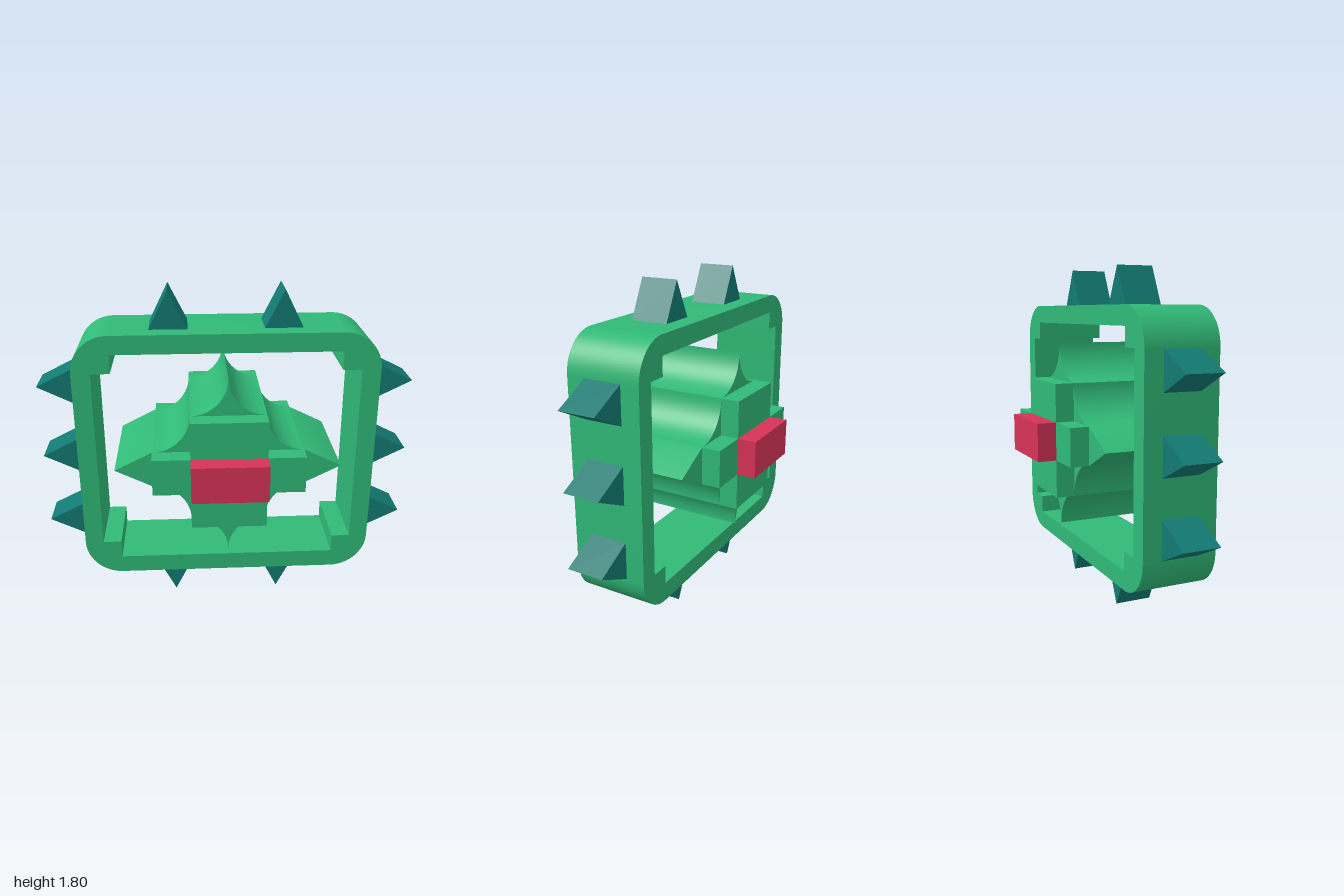
import * as THREE from 'three';
import { toCreasedNormals } from 'three/addons/utils/BufferGeometryUtils.js';

const CENTRE_Y = 0.9;
const green = new THREE.MeshStandardMaterial({ color: 0x30b977 });
const teal = new THREE.MeshStandardMaterial({ color: 0x127a72 });
const red = new THREE.MeshStandardMaterial({ color: 0xd63356 });

// Extrudes a shape evenly about z = 0, smooth on curves and sharp at corners
function slab(name, shape, depth, material) {
  const geometry = new THREE.ExtrudeGeometry(shape, { depth, bevelEnabled: false, curveSegments: 12 });
  geometry.translate(0, 0, -depth / 2);
  const mesh = new THREE.Mesh(toCreasedNormals(geometry, 0.5), material);
  mesh.name = name;
  return mesh;
}

const polygon = (points) => new THREE.Shape(points.map(([x, y]) => new THREE.Vector2(x, y)));

// Rounded frame whose opening has a square step in each corner
function frameShape() {
  const w = 0.8, h = 0.7, r = 0.2;
  const s = new THREE.Shape();
  s.moveTo(-w + r, -h);
  s.lineTo(w - r, -h);
  s.absarc(w - r, -h + r, r, -Math.PI / 2, 0);
  s.lineTo(w, h - r);
  s.absarc(w - r, h - r, r, 0, Math.PI / 2);
  s.lineTo(-w + r, h);
  s.absarc(-w + r, h - r, r, Math.PI / 2, Math.PI);
  s.lineTo(-w, -h + r);
  s.absarc(-w + r, -h + r, r, Math.PI, Math.PI * 1.5);
  s.holes.push(crossShape(0.7, 0.5, 0.6, 0.6));
  return s;
}

// Plus outline: a wide bar (w1 x h1) united with a tall bar (w2 x h2), half sizes
function crossShape(w1, h1, w2, h2) {
  return polygon([
    [w2, -h2], [w2, -h1], [w1, -h1], [w1, h1], [w2, h1], [w2, h2],
    [-w2, h2], [-w2, h1], [-w1, h1], [-w1, -h1], [-w2, -h1], [-w2, -h2],
  ]);
}

// Star with straight side points and concave, stepped arcs above and below
function starShape() {
  const r = 0.2, P = Math.PI;
  const s = new THREE.Shape();
  s.moveTo(0.6, 0);
  s.lineTo(0.4, 0.1);
  s.absarc(0.4, 0.3, r, P * 1.5, P, true);
  s.absarc(0.2, 0.5, r, P * 1.5, P, true);
  s.absarc(-0.2, 0.5, r, 0, -P / 2, true);
  s.absarc(-0.4, 0.3, r, 0, -P / 2, true);
  s.lineTo(-0.6, 0);
  s.lineTo(-0.4, -0.1);
  s.absarc(-0.4, -0.3, r, P / 2, 0, true);
  s.absarc(-0.2, -0.5, r, P / 2, 0, true);
  s.absarc(0.2, -0.5, r, P, P / 2, true);
  s.absarc(0.4, -0.3, r, P, P / 2, true);
  s.closePath();
  return s;
}

export function createModel() {
  const model = new THREE.Group();
  model.name = 'spikedFrameWithCore';

  // Outer frame
  const frame = slab('frame', frameShape(), 0.4, green);

  // Floating core: star body, cross block and coloured bar, each deeper than the last
  const core = new THREE.Group();
  core.name = 'core';
  core.add(slab('starBody', starShape(), 0.6, green));
  core.add(slab('crossBlock', crossShape(0.4, 0.1, 0.2, 0.3), 0.8, green));
  const bar = new THREE.Mesh(new THREE.BoxGeometry(0.4, 0.2, 1), red);
  bar.name = 'centreBar';
  core.add(bar);

  // Wedge spikes around the frame
  const spikes = new THREE.Group();
  spikes.name = 'spikes';
  const wedge = polygon([[-0.1, 0], [0.1, 0], [0, 0.2]]);
  const addSpike = (x, y, angle) => {
    const spike = slab('spike', wedge, 0.2, teal);
    spike.position.set(x, y, 0);
    spike.rotation.z = angle;
    spikes.add(spike);
  };
  for (const side of [-1, 1]) {
    for (const x of [-0.3, 0.3]) addSpike(x, side * 0.7, side > 0 ? 0 : Math.PI);
    for (const y of [-0.4, 0, 0.4]) addSpike(side * 0.8, y, -side * Math.PI / 2);
  }

  for (const part of [frame, core, spikes]) {
    part.position.y = CENTRE_Y;
    model.add(part);
  }
  return model;
}
